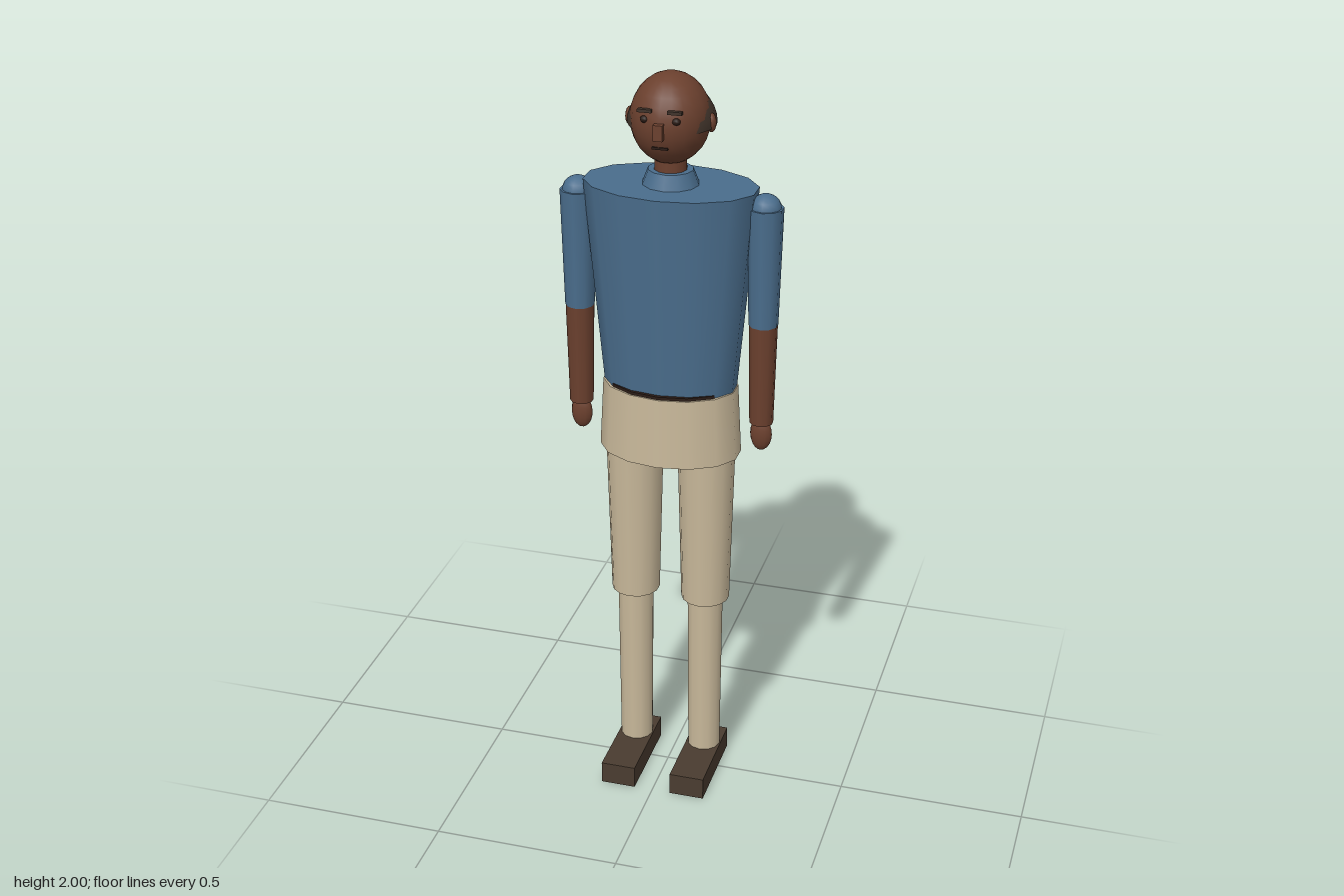
import * as THREE from 'three';

const material = (color) => new THREE.MeshStandardMaterial({ color, side: THREE.DoubleSide });

export function createModel() {
  const model = new THREE.Group();
  const shirt = material(0x4a6d8c), trousers = material(0xc8b89a), skin = material(0x6b402e);
  const hair = material(0x40332a), shoe = material(0x4a3c30), dark = material(0x2a1c16);
  const AXIS = -0.023; // z of the body's upright axis

  const add = (name, geometry, mat, x, y, z) => {
    const mesh = new THREE.Mesh(geometry, mat);
    mesh.name = name;
    mesh.position.set(x, y, z);
    model.add(mesh);
    return mesh;
  };
  // Tapered limb between two heights; depth squashes the section in z
  const taper = (name, mat, x, y0, y1, r0, r1, sides, depth = 1, z = AXIS) => {
    const g = new THREE.CylinderGeometry(r1, r0, y1 - y0, sides);
    g.scale(1, 1, depth);
    return add(name, g, mat, x, (y0 + y1) / 2, z);
  };
  const ball = (name, mat, x, y, z, rx, ry, rz, w = 16, h = 12) => {
    const g = new THREE.SphereGeometry(1, w, h);
    g.scale(rx, ry, rz);
    return add(name, g, mat, x, y, z);
  };
  const box = (name, mat, x, y, z, w, h, d) => add(name, new THREE.BoxGeometry(w, h, d), mat, x, y, z);

  // Trunk
  taper('torso', shirt, 0, 1.165, 1.715, 0.176, 0.226, 14, 0.615);
  taper('belt', dark, 0, 1.15, 1.178, 0.17, 0.17, 14, 0.7);
  taper('pelvis', trousers, 0, 0.98, 1.17, 0.189, 0.179, 14, 0.685);
  taper('collar', shirt, 0, 1.71, 1.753, 0.075, 0.058, 12, 0.95);
  taper('neck', skin, 0, 1.72, 1.8, 0.043, 0.041, 12);

  // Head: the crown and face push out through a hemisphere of hair
  ball('head', skin, 0, 1.885, AXIS, 0.101, 0.115, 0.106, 20, 14);
  const cap = new THREE.SphereGeometry(1, 20, 8, 0, Math.PI * 2, 0, Math.PI / 2);
  cap.scale(0.112, 0.105, 0.108);
  add('hair', cap, hair, 0, 1.868, -0.036);
  box('nose', skin, 0, 1.88, 0.083, 0.024, 0.04, 0.026);
  box('mouth', dark, 0, 1.835, 0.07, 0.04, 0.006, 0.01);

  for (const side of [1, -1]) {
    const name = side > 0 ? 'left' : 'right';
    ball(name + 'Ear', skin, side * 0.104, 1.88, -0.022, 0.012, 0.024, 0.016, 10, 8);
    ball(name + 'Eye', dark, side * 0.04, 1.905, 0.069, 0.011, 0.009, 0.01, 10, 8);
    box(name + 'Eyebrow', hair, side * 0.038, 1.928, 0.073, 0.036, 0.008, 0.012);

    // Arm
    const ax = side * 0.244;
    ball(name + 'Shoulder', shirt, ax, 1.67, AXIS, 0.041, 0.04, 0.041, 12, 10);
    taper(name + 'Sleeve', shirt, ax, 1.36, 1.675, 0.038, 0.046, 10);
    taper(name + 'Forearm', skin, ax, 1.085, 1.36, 0.031, 0.037, 10);
    ball(name + 'Hand', skin, ax, 1.052, AXIS, 0.029, 0.047, 0.018, 12, 10);

    // Leg
    const lx = side * 0.098;
    taper(name + 'Thigh', trousers, lx, 0.54, 0.99, 0.065, 0.076, 14);
    taper(name + 'Shin', trousers, lx, 0.05, 0.545, 0.045, 0.049, 12);
    box(name + 'Shoe', shoe, lx, 0.031, 0.03, 0.095, 0.062, 0.262);
  }
  return model;
}
